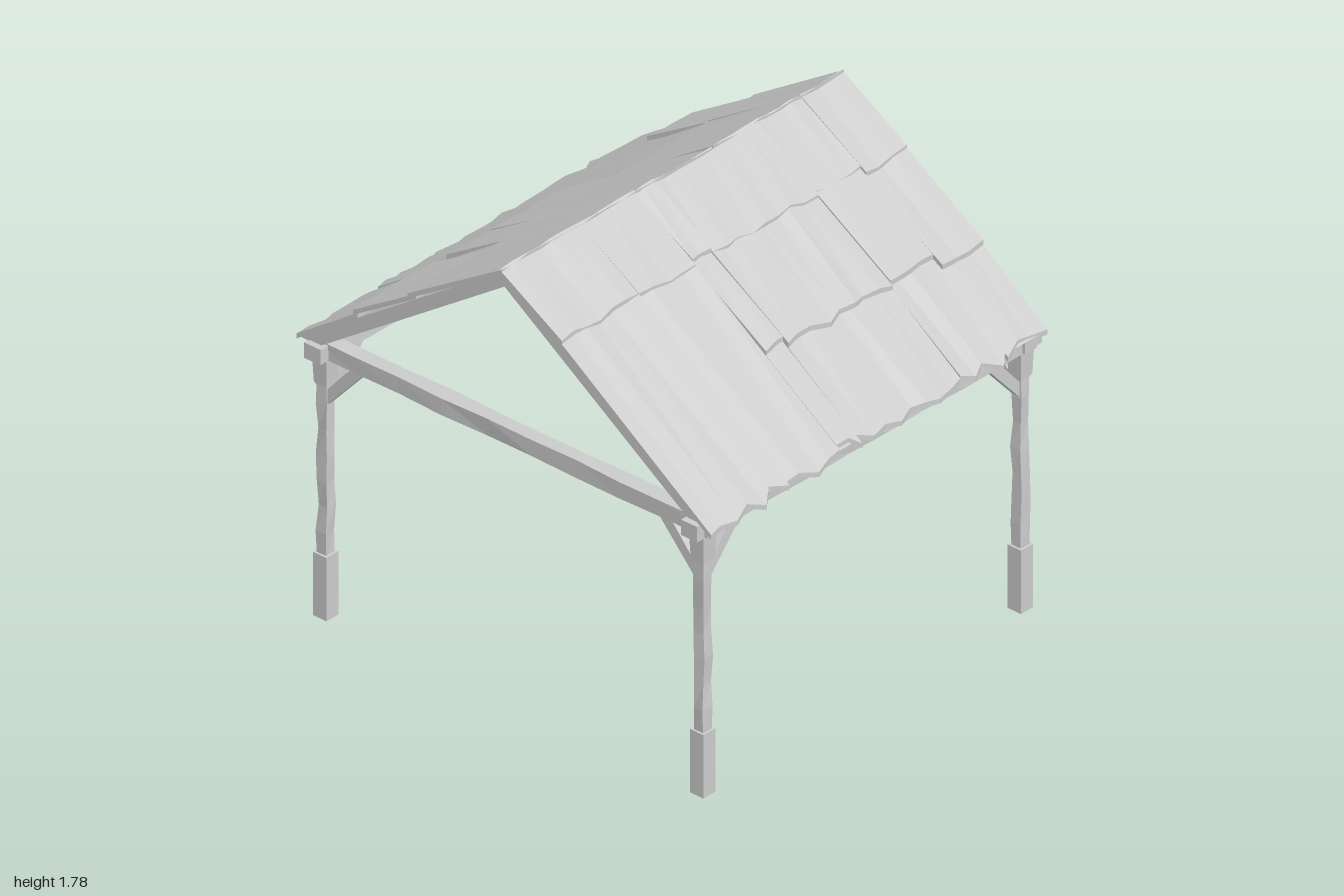
import * as THREE from 'three';

const mat = new THREE.MeshStandardMaterial({ color: 0xcccccc, flatShading: true });
const SLOPE = 0.69, RIDGE = 1.775;

// Repeatable pseudo-random value in -1..1
const noise = (a, b = 0) => {
  const s = Math.sin(a * 127.1 + b * 311.7) * 43758.5453;
  return (s - Math.floor(s)) * 2 - 1;
};

function add(parent, name, geometry, x = 0, y = 0, z = 0) {
  const mesh = new THREE.Mesh(geometry, mat);
  mesh.name = name;
  mesh.position.set(x, y, z);
  parent.add(mesh);
  return mesh;
}

// Roughly hewn timber along y; rings between the ends wander and swell a little
function hewn(w, length, d, segs, wobble, seed) {
  const g = new THREE.BoxGeometry(w, length, d, 1, segs, 1);
  const p = g.attributes.position;
  for (let i = 0; i < p.count; i++) {
    const ring = Math.round((p.getY(i) / length + 0.5) * segs);
    if (ring === 0 || ring === segs) continue;
    const corner = (p.getX(i) > 0 ? 1 : 2) + (p.getZ(i) > 0 ? 4 : 0);
    p.setX(i, p.getX(i) + wobble * noise(ring + corner * 17, seed));
    p.setZ(i, p.getZ(i) + wobble * noise(ring + corner * 31, seed + 5));
  }
  g.computeVertexNormals();
  return g;
}

// Inverted V across z, extruded along x, with ends cut level
function chevron(width, top, bottom, endY) {
  const zt = (top - endY) / SLOPE, zb = (bottom - endY) / SLOPE;
  const shape = new THREE.Shape([[-zt, endY], [-zb, endY], [0, bottom], [zb, endY], [zt, endY], [0, top]]
    .map(([z, y]) => new THREE.Vector2(z, y)));
  const g = new THREE.ExtrudeGeometry(shape, { depth: width, bevelEnabled: false });
  return g.translate(0, 0, -width / 2).rotateY(-Math.PI / 2);
}

// One course of roof boards with a ragged lower edge, lying on the +z slope
function course(x0, x1, z0, z1, lift0, lift1, seed) {
  const n = Math.max(1, Math.round((x1 - x0) / 0.065));
  const g = new THREE.BoxGeometry(1, 1, 1, n, 1, 1);
  const p = g.attributes.position;
  for (let i = 0; i < p.count; i++) {
    const col = Math.round((p.getX(i) + 0.5) * n);
    const low = p.getZ(i) > 0;
    const inner = col > 0 && col < n;
    const shift = inner ? 0.014 * noise(col + (low ? 50 : 0), seed) : 0;
    const x = x0 + (x1 - x0) * col / n + shift;
    const rag = z1 > 0.9 ? 0.025 : 0.01;
    const z = low ? z1 + rag * noise(col, seed + 2) : z0;
    const lift = (low ? lift1 : lift0) + 0.006 * noise(col, seed + (low ? 3 : 4));
    const y = RIDGE - SLOPE * z + lift + (p.getY(i) > 0 ? 0 : -0.02);
    p.setXYZ(i, x, y, z);
  }
  g.computeVertexNormals();
  return g;
}

// A slope made of side-by-side panels, each split into overlapping courses
function roofSlope(name, panels, seed) {
  const slope = new THREE.Group();
  slope.name = name;
  panels.forEach(([x0, x1, breaks], k) => {
    const stops = [0, ...breaks, 0.955];
    for (let j = 0; j < stops.length - 1; j++) {
      const last = j === stops.length - 2;
      const start = j ? stops[j] - 0.03 : -0.005;
      const end = stops[j + 1];
      add(slope, 'roofBoards', course(x0, x1, start, end, j ? 0.01 : 0,
        last ? 0.004 : 0.022 + 0.012 * j, seed + k * 7 + j * 13));
    }
  });
  return slope;
}

export function createModel() {
  const model = new THREE.Group();
  model.name = 'openShelter';
  const PX = 0.815, PZ = 0.87;

  // Four posts with footings, caps and two braces each
  let seed = 1;
  for (const sx of [-1, 1]) for (const sz of [-1, 1]) {
    const post = new THREE.Group();
    post.name = 'post';
    post.position.set(sx * PX, 0, sz * PZ);
    model.add(post);
    add(post, 'footing', new THREE.BoxGeometry(0.062, 0.255, 0.062), 0, 0.1275, 0);
    add(post, 'shaft', hewn(0.043, 0.72, 0.043, 7, 0.005, seed++), 0, 0.6, 0);
    const cap = new THREE.CylinderGeometry(0.034 * Math.SQRT2, 0.029 * Math.SQRT2, 0.115, 4).rotateY(Math.PI / 4);
    add(post, 'cap', cap, 0, 0.997, 0);
    add(post, 'capCollar', new THREE.BoxGeometry(0.05, 0.014, 0.05), 0, 0.937, 0);

    // Braces are slanted prisms rising from shaft to beam
    const outline = new THREE.Shape([[0, 0.85], [0.19, 1.06], [0.13, 1.06], [0, 0.91]]
      .map(([a, y]) => new THREE.Vector2(a, y)));
    for (const alongX of [true, false]) {
      const g = new THREE.ExtrudeGeometry(outline, { depth: 0.032, bevelEnabled: false });
      g.translate(0.01, 0, -0.016);
      const brace = add(post, 'brace', g);
      brace.rotation.y = alongX ? (sx > 0 ? Math.PI : 0) : (sz > 0 ? Math.PI / 2 : -Math.PI / 2);
    }
  }

  // Ring of tie beams, crossing at the corners
  for (const s of [-1, 1]) {
    add(model, 'eaveBeam', hewn(0.062, 1.77, 0.075, 9, 0.004, seed++).rotateZ(Math.PI / 2), 0, 1.082, s * PZ);
    add(model, 'tieBeam', hewn(0.062, 1.84, 0.066, 9, 0.004, seed++).rotateX(Math.PI / 2), s * PX, 1.086, 0);
  }

  // Rafters, ridge and eave purlins
  for (const s of [-1, 1]) {
    add(model, 'gableRafter', chevron(0.06, 1.762, 1.70, 1.117), s * 0.835, 0, 0);
    add(model, 'innerRafter', chevron(0.038, 1.755, 1.712, 1.117), s * 0.28, 0, 0);
    const purlin = add(model, 'eavePurlin', new THREE.BoxGeometry(1.66, 0.035, 0.06), 0, 1.142, s * 0.855);
    purlin.rotation.x = s * Math.atan(SLOPE);
  }
  add(model, 'ridgePurlin', new THREE.BoxGeometry(1.66, 0.035, 0.05), 0, 1.727, 0);

  // Lining under the boards
  add(model, 'roofLining', chevron(1.74, 1.765, 1.738, 1.117), 0, 0, 0);

  // Board coverings; the rear slope is turned about, so its x runs reversed
  model.add(roofSlope('frontRoof', [
    [-0.885, -0.475, [0.28]],
    [-0.478, -0.195, [0.28]],
    [-0.198, -0.1, [0.27, 0.6]],
    [-0.1, 0.43, [0.28, 0.62]],
    [0.43, 0.66, [0.28, 0.61]],
    [0.655, 0.872, [0.3, 0.65]],
  ], 3));
  const back = roofSlope('backRoof', [
    [-0.872, -0.65, [0.42, 0.7]],
    [-0.655, -0.2, [0.42]],
    [-0.2, 0.19, [0.41, 0.68]],
    [0.187, 0.39, [0.4, 0.69]],
    [0.387, 0.475, [0.42]],
    [0.473, 0.885, [0.42, 0.69]],
  ], 61);
  back.rotation.y = Math.PI;
  model.add(back);

  return model;
}
